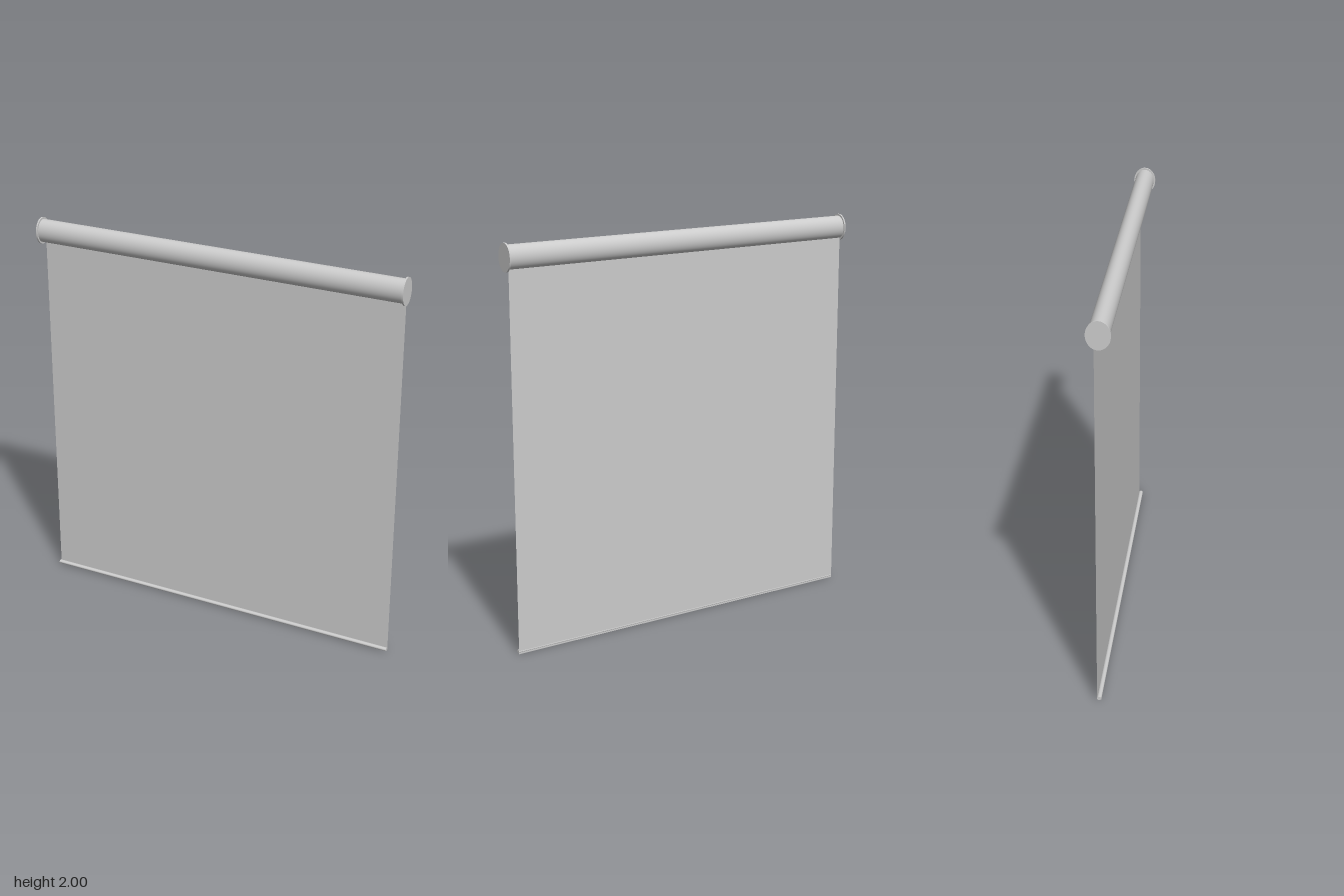
import * as THREE from 'three';

const material = new THREE.MeshStandardMaterial({ color: 0xcccccc });
const clothMaterial = new THREE.MeshStandardMaterial({ color: 0xcccccc, side: THREE.DoubleSide });

// Oval rod lying along x, with half height ry and half depth rz
function ovalRod(name, length, ry, rz, x, y, z) {
  const geometry = new THREE.CylinderGeometry(1, 1, length, 48);
  geometry.rotateZ(Math.PI / 2);
  geometry.scale(1, ry, rz);
  const mesh = new THREE.Mesh(geometry, material);
  mesh.name = name;
  mesh.position.set(x, y, z);
  return mesh;
}

export function createModel() {
  const group = new THREE.Group();
  group.name = 'rollerBlind';
  const rollY = 1.932;

  // Rolled-up cloth at the top
  group.add(ovalRod('roll', 1.955, 0.059, 0.048, 0, rollY, 0));

  // Thin end caps, slightly larger than the roll
  for (const side of [-1, 1]) {
    group.add(ovalRod(side > 0 ? 'leftEndCap' : 'rightEndCap', 0.008, 0.068, 0.056, side * 0.979, rollY, 0));
  }

  // Flat hanging cloth
  const cloth = new THREE.Mesh(new THREE.PlaneGeometry(1.946, rollY), clothMaterial);
  cloth.name = 'cloth';
  cloth.position.set(0, rollY / 2, -0.02);
  group.add(cloth);

  // Weight bar along the front of the lower hem
  group.add(ovalRod('bottomBar', 1.946, 0.009, 0.011, 0, 0.012, -0.01));

  return group;
}
